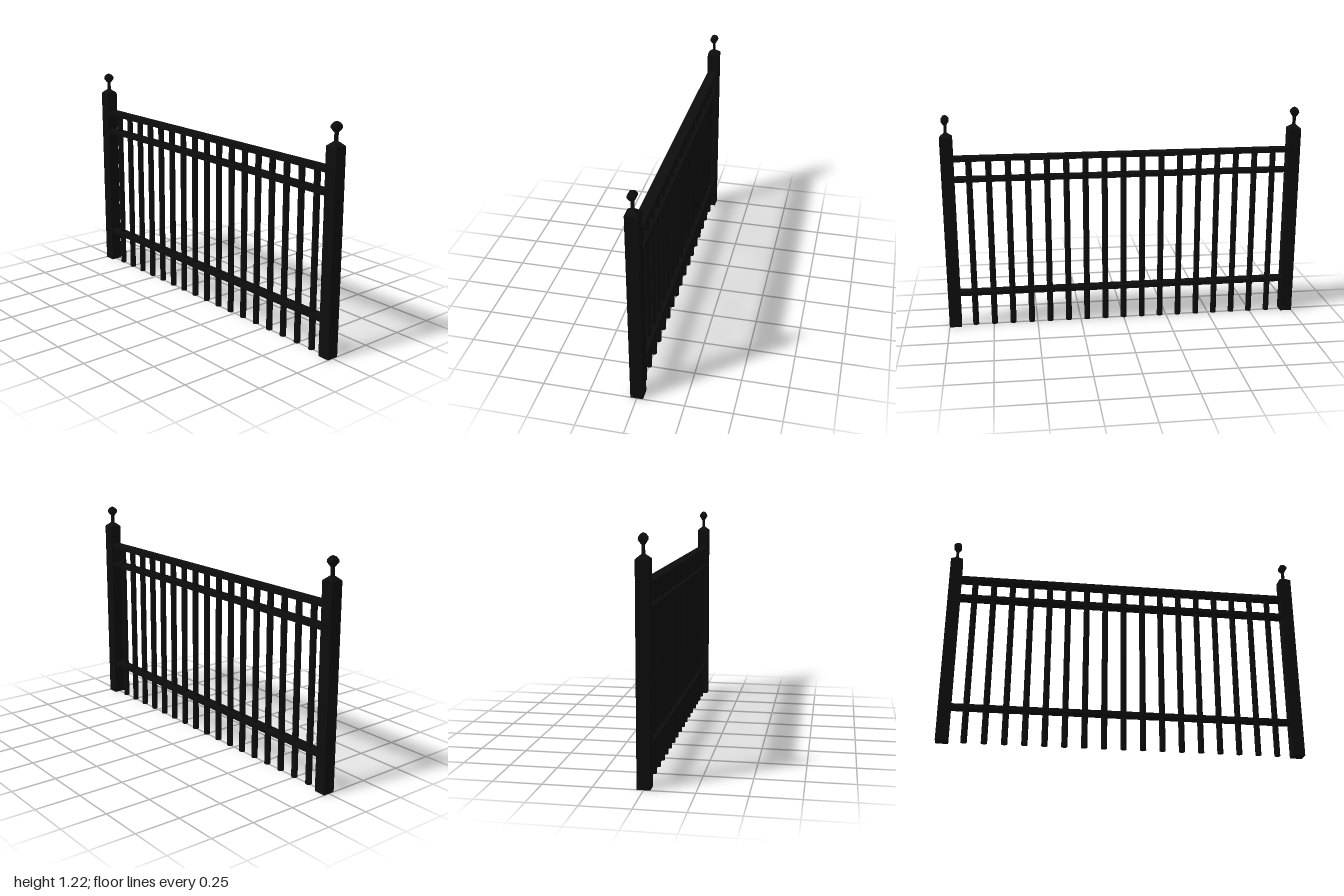
import * as THREE from 'three';

export function createModel() {
  const fence = new THREE.Group();
  fence.name = 'fencePanel';
  const blackIron = new THREE.MeshStandardMaterial({ color: 0x0d0d0d, flatShading: true });
  blackIron.name = 'blackIron';

  const add = (name, geometry, x, y, parent = fence) => {
    const mesh = new THREE.Mesh(geometry, blackIron);
    mesh.name = name;
    mesh.position.set(x, y, 0);
    parent.add(mesh);
    return mesh;
  };

  // Square-section turning: pairs of half width and height, bottom to top
  const squareTurned = (profile) => new THREE.LatheGeometry(
    profile.map(([half, y]) => new THREE.Vector2(half * Math.SQRT2, y)), 4, Math.PI / 4);

  // End posts with pyramid cap, neck and faceted finial
  const postGeometry = new THREE.BoxGeometry(0.067, 1.094, 0.067);
  const capGeometry = squareTurned([[0.0335, 1.094], [0.0075, 1.117], [0, 1.117]]);
  const neckGeometry = squareTurned([[0.0075, 1.115], [0.0075, 1.165]]);
  const finialGeometry = squareTurned([
    [0, 1.16], [0.009, 1.16], [0.021, 1.182], [0.02, 1.195], [0.011, 1.209], [0, 1.215],
  ]);
  for (const side of [-1, 1]) {
    const post = new THREE.Group();
    post.name = side > 0 ? 'leftPost' : 'rightPost';
    post.position.x = side * 0.9665;
    add('postShaft', postGeometry, 0, 0.547, post);
    add('postCap', capGeometry, 0, 0, post);
    add('finialNeck', neckGeometry, 0, 0, post);
    add('finial', finialGeometry, 0, 0, post);
    fence.add(post);
  }

  // Horizontal rails: name, bottom, top
  for (const [name, bottom, top] of [
    ['topRail', 0.96, 0.985], ['middleRail', 0.845, 0.868], ['bottomRail', 0.185, 0.208],
  ]) {
    add(name, new THREE.BoxGeometry(1.88, top - bottom, 0.058), 0, (bottom + top) / 2);
  }

  // Round pickets from the ground up to the top rail
  const picketGeometry = new THREE.CylinderGeometry(0.017, 0.017, 0.965, 8);
  for (let i = -8; i <= 8; i++) add('picket', picketGeometry, i * 0.1065, 0.4825);

  return fence;
}
